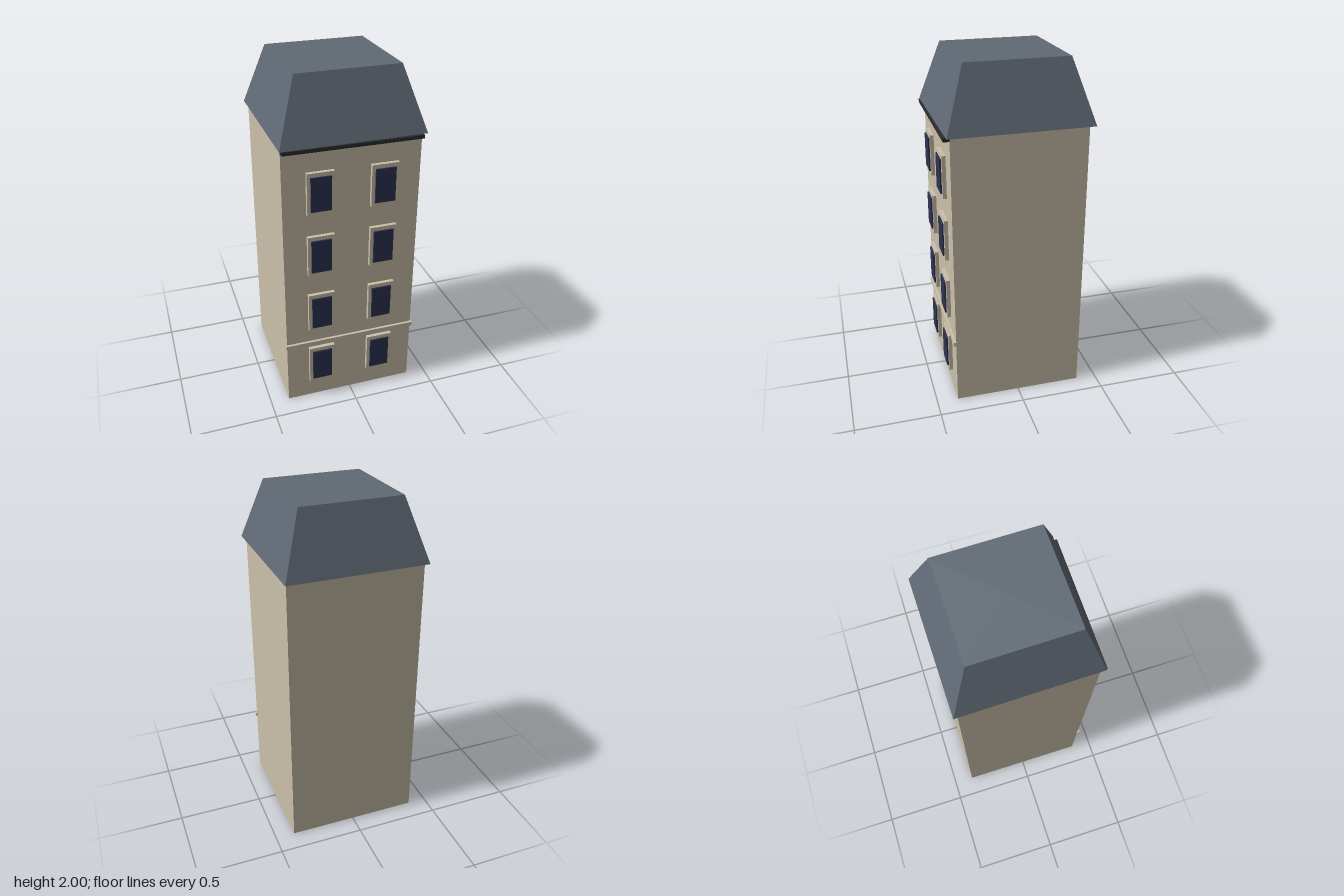
import * as THREE from 'three';

const material = (name, color) => {
  const m = new THREE.MeshStandardMaterial({ color });
  m.name = name;
  return m;
};

export function createModel() {
  const plaster = material('plaster', 0xcbc0aa);
  const slate = material('slate', 0x606a74);
  const glass = material('windowGlass', 0x2c3350);
  const dark = material('darkTrim', 0x2b2d30);
  const house = new THREE.Group();
  house.name = 'townHouse';

  // Box given by its limits on each axis
  const addBox = (name, mat, [x0, x1], [y0, y1], [z0, z1], parent = house) => {
    const mesh = new THREE.Mesh(new THREE.BoxGeometry(x1 - x0, y1 - y0, z1 - z0), mat);
    mesh.position.set((x0 + x1) / 2, (y0 + y1) / 2, (z0 + z1) / 2);
    mesh.name = name;
    parent.add(mesh);
  };

  // Walls, string course above the ground floor, and eaves cornice
  addBox('walls', plaster, [-0.39, 0.386], [0, 1.645], [-0.381, 0.376]);
  addBox('stringCourse', plaster, [-0.397, 0.393], [0.386, 0.411], [0.37, 0.391]);
  addBox('cornice', dark, [-0.39, 0.386], [1.624, 1.644], [0.37, 0.41]);

  // Four storeys of paired windows: surround with a raised pane
  for (let floor = 0; floor < 4; floor++) {
    const y = 0.243 + floor * 0.379;
    for (const x of [-0.182, 0.178]) {
      const win = new THREE.Group();
      win.name = 'window';
      win.position.set(x, y, 0);
      addBox('windowSurround', plaster, [-0.077, 0.077], [-0.123, 0.123], [0.37, 0.398], win);
      addBox('windowPane', glass, [-0.058, 0.058], [-0.1, 0.1], [0.398, 0.407], win);
      house.add(win);
    }
  }

  // Mansard roof: four-sided frustum with a flat top, turned very slightly
  const roofShape = new THREE.CylinderGeometry(0.2915 * Math.SQRT2, 0.405 * Math.SQRT2, 0.355, 4)
    .rotateY(Math.PI / 4)
    .toNonIndexed();
  roofShape.computeVertexNormals();
  const roof = new THREE.Mesh(roofShape, slate);
  roof.name = 'mansardRoof';
  roof.position.set(0, 1.8225, -0.005);
  roof.rotation.y = 0.0125;
  house.add(roof);

  return house;
}
